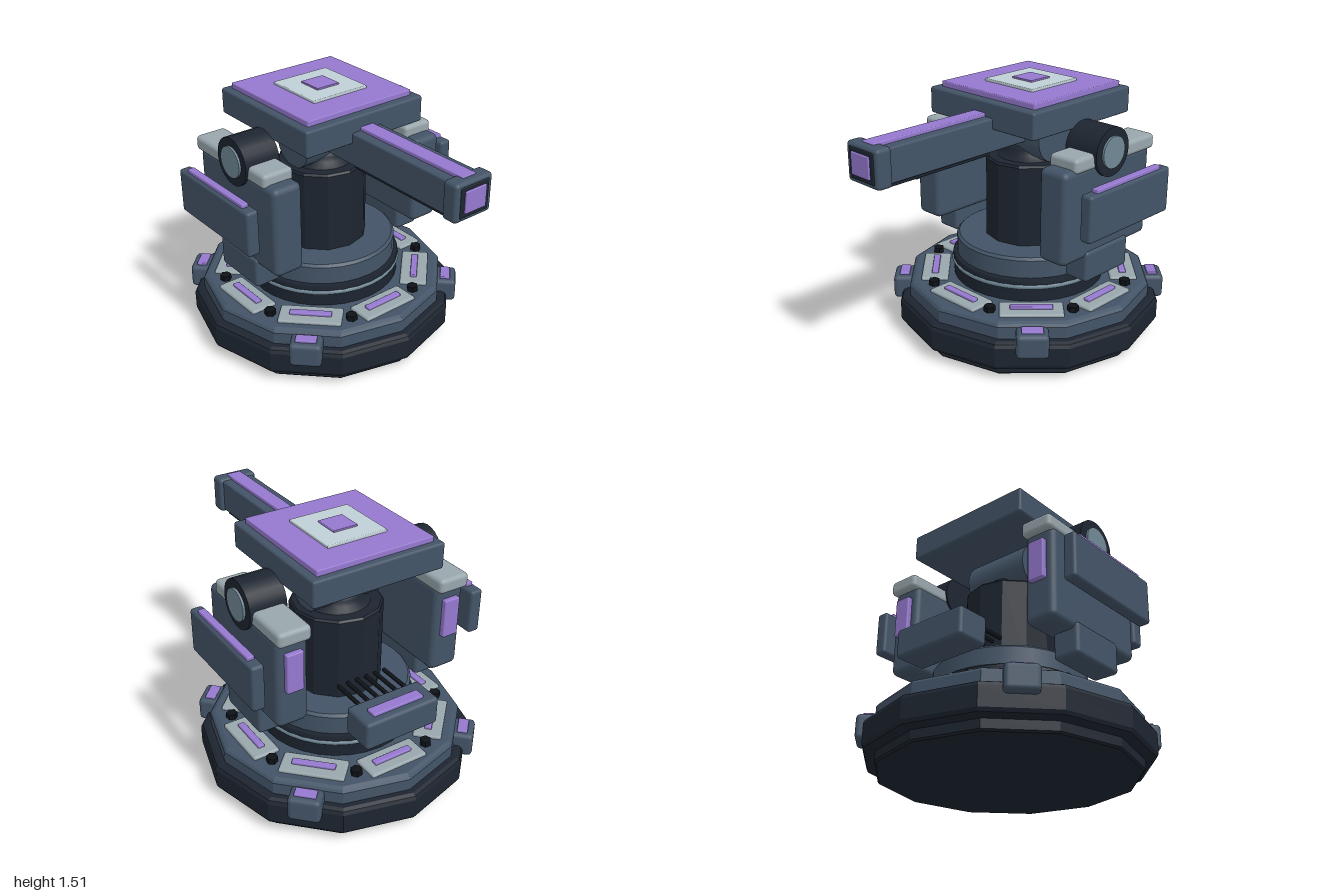
import * as THREE from 'three';
import { RoundedBoxGeometry } from 'three/addons/geometries/RoundedBoxGeometry.js';

const CZ = -0.21; // z of the turret axis

const mat = (color, flat = false) => new THREE.MeshStandardMaterial({ color, flatShading: flat });
const M = {
  steel: mat(0x435467), steelFlat: mat(0x435467, true),
  dark: mat(0x1d2530), darkFlat: mat(0x1d2530, true),
  black: mat(0x0e1217, true), grey: mat(0x98a6ac),
  pale: mat(0xc0d0d6), glow: mat(0x9579cf), ring: mat(0x708896),
};

// rounded block given by its extents
function block(parent, name, m, [x0, x1], [y0, y1], [z0, z1], r = 0.02) {
  const w = x1 - x0, h = y1 - y0, d = z1 - z0;
  const radius = Math.min(r, Math.min(w, h, d) * 0.45);
  const mesh = new THREE.Mesh(new RoundedBoxGeometry(w, h, d, 2, radius), m);
  mesh.position.set((x0 + x1) / 2, (y0 + y1) / 2, (z0 + z1) / 2);
  mesh.name = name;
  parent.add(mesh);
  return mesh;
}

// turned part around the turret axis from [radius, height] pairs
function turned(parent, name, m, profile, sides) {
  const pts = profile.map(([r, y]) => new THREE.Vector2(r, y));
  let g = new THREE.LatheGeometry(pts, sides);
  if (m.flatShading) g = g.toNonIndexed();
  const mesh = new THREE.Mesh(g, m);
  mesh.position.z = CZ;
  mesh.name = name;
  parent.add(mesh);
  return mesh;
}

// cylinder lying along x
function axle(parent, name, m, x, y, z, r, len, sides = 24) {
  const mesh = new THREE.Mesh(new THREE.CylinderGeometry(r, r, len, sides), m);
  mesh.rotation.z = Math.PI / 2;
  mesh.position.set(x, y, z);
  mesh.name = name;
  parent.add(mesh);
}

// group on the turret axis, turned to an angle; local +z points outward
function spoke(parent, name, angle) {
  const g = new THREE.Group();
  g.name = name;
  g.position.z = CZ;
  g.rotation.y = angle;
  parent.add(g);
  return g;
}

function buildBase() {
  const g = new THREE.Group();
  g.name = 'base';
  turned(g, 'foot', M.darkFlat, [[0, 0], [0.71, 0], [0.72, 0.01], [0.72, 0.07]], 12);
  turned(g, 'skirt', M.darkFlat,
    [[0, 0.06], [0.76, 0.06], [0.78, 0.07], [0.79, 0.09], [0.79, 0.2], [0.78, 0.22], [0.76, 0.23], [0, 0.23]], 12);
  turned(g, 'deck', M.steelFlat,
    [[0.73, 0.22], [0.73, 0.3], [0.72, 0.315], [0.7, 0.325], [0, 0.325]], 12);

  for (let i = 0; i < 8; i++) {
    const a = i * Math.PI / 4;
    const plate = spoke(g, 'deckPlate', a);
    block(plate, 'plate', M.grey, [-0.18, 0.18], [0.31, 0.342], [0.48, 0.64], 0.012);
    block(plate, 'plateLight', M.glow, [-0.12, 0.12], [0.335, 0.357], [0.54, 0.58], 0.006);
    const stud = spoke(g, 'deckBolt', a + Math.PI / 8);
    const bolt = new THREE.Mesh(new THREE.CylinderGeometry(0.033, 0.033, 0.04, 6), M.black);
    bolt.position.set(0, 0.337, 0.605);
    bolt.name = 'bolt';
    stud.add(bolt);
  }
  // four corner clamps
  for (let i = 0; i < 4; i++) {
    const clamp = spoke(g, 'clamp', Math.PI / 4 + i * Math.PI / 2);
    block(clamp, 'clampBody', M.steel, [-0.09, 0.09], [0.16, 0.303], [0.685, 0.815], 0.025);
    block(clamp, 'clampLight', M.glow, [-0.06, 0.06], [0.295, 0.316], [0.72, 0.78], 0.006);
  }
  return g;
}

function buildColumn() {
  const g = new THREE.Group();
  g.name = 'column';
  turned(g, 'collar', M.dark, [[0.45, 0.31], [0.45, 0.4], [0.455, 0.4], [0.455, 0.45], [0.445, 0.46], [0, 0.46]], 32);
  const ring = new THREE.Mesh(new THREE.TorusGeometry(0.447, 0.015, 8, 40), M.ring);
  ring.rotation.x = Math.PI / 2;
  ring.position.set(0, 0.415, CZ);
  ring.name = 'collarRing';
  g.add(ring);
  turned(g, 'turntable', M.steel,
    [[0.43, 0.455], [0.43, 0.455], [0.43, 0.565], [0.43, 0.565], [0.415, 0.58], [0.415, 0.58], [0, 0.58]], 32);
  turned(g, 'post', M.darkFlat, [[0.26, 0.57], [0.26, 1.05], [0.25, 1.062], [0, 1.062]], 12);
  turned(g, 'neck', M.dark,
    [[0.2, 1.055], [0.175, 1.07], [0.155, 1.09], [0.147, 1.115], [0.14, 1.135], [0.12, 1.15], [0, 1.155]], 24);
  axle(g, 'tiltDrum', M.steel, 0, 1.2, CZ, 0.145, 0.41);

  // rear power pack with its cables
  block(g, 'rearPack', M.steel, [-0.23, 0.23], [0.53, 0.695], [-0.855, -0.66]);
  block(g, 'rearPackLight', M.glow, [-0.16, 0.16], [0.69, 0.711], [-0.81, -0.745], 0.006);
  for (let i = 0; i < 6; i++) {
    const x = -0.15 + i * 0.06;
    block(g, 'cable', M.black, [x - 0.011, x + 0.011], [0.668, 0.69], [-0.665, -0.46], 0.008);
  }
  return g;
}

function buildHead() {
  const g = new THREE.Group();
  g.name = 'head';
  block(g, 'headSlab', M.steel, [-0.4, 0.4], [1.305, 1.457], [-0.61, 0.19], 0.014);
  block(g, 'headPanel', M.glow, [-0.355, 0.355], [1.44, 1.488], [-0.57, 0.14], 0.006);
  block(g, 'headInset', M.pale, [-0.183, 0.183], [1.48, 1.503], [-0.4, -0.03], 0.005);
  block(g, 'headCore', M.glow, [-0.075, 0.075], [1.495, 1.513], [-0.29, -0.14], 0.004);

  // barrel
  block(g, 'barrel', M.steel, [-0.1, 0.1], [1.18, 1.37], [-0.2, 0.92], 0.012);
  block(g, 'barrelLight', M.glow, [-0.045, 0.045], [1.36, 1.39], [0.15, 0.945], 0.006);
  block(g, 'barrelRail', M.dark, [-0.083, 0.083], [1.158, 1.19], [0.19, 0.88], 0.008);
  block(g, 'muzzle', M.steel, [-0.124, 0.124], [1.17, 1.383], [0.89, 0.985], 0.022);
  block(g, 'muzzleFrame', M.dark, [-0.095, 0.095], [1.195, 1.362], [0.96, 0.99], 0.006);
  block(g, 'muzzleLens', M.glow, [-0.07, 0.07], [1.22, 1.34], [0.97, 1.0], 0.005);
  return g;
}

// side pod; s is +1 for the left, -1 for the right
function buildPod(s) {
  const g = new THREE.Group();
  g.name = s > 0 ? 'leftPod' : 'rightPod';
  const X = (a, b) => (s > 0 ? [a, b] : [-b, -a]);
  block(g, 'podBody', M.steel, X(0.402, 0.588), [0.63, 1.162], [-0.57, 0.15], 0.035);
  block(g, 'podCap', M.grey, X(0.4, 0.592), [1.135, 1.222], [-0.605, 0.07], 0.025);
  block(g, 'podFoot', M.steel, X(0.443, 0.602), [0.487, 0.67], [-0.39, -0.03], 0.022);
  block(g, 'podRearLight', M.glow, X(0.445, 0.545), [0.855, 1.085], [-0.6, -0.55], 0.008);
  axle(g, 'hub', M.dark, s * 0.498, 1.207, CZ, 0.138, 0.215);
  axle(g, 'hubDisc', M.ring, s * 0.6, 1.207, CZ, 0.09, 0.036);
  block(g, 'shield', M.steel, X(0.655, 0.73), [0.8, 1.065], [-0.575, 0.108], 0.018);
  block(g, 'shieldLight', M.glow, X(0.672, 0.714), [1.055, 1.085], [-0.505, 0.04], 0.006);
  return g;
}

export function createModel() {
  const model = new THREE.Group();
  model.name = 'sentryTurret';
  model.add(buildBase(), buildColumn(), buildHead(), buildPod(1), buildPod(-1));
  return model;
}
